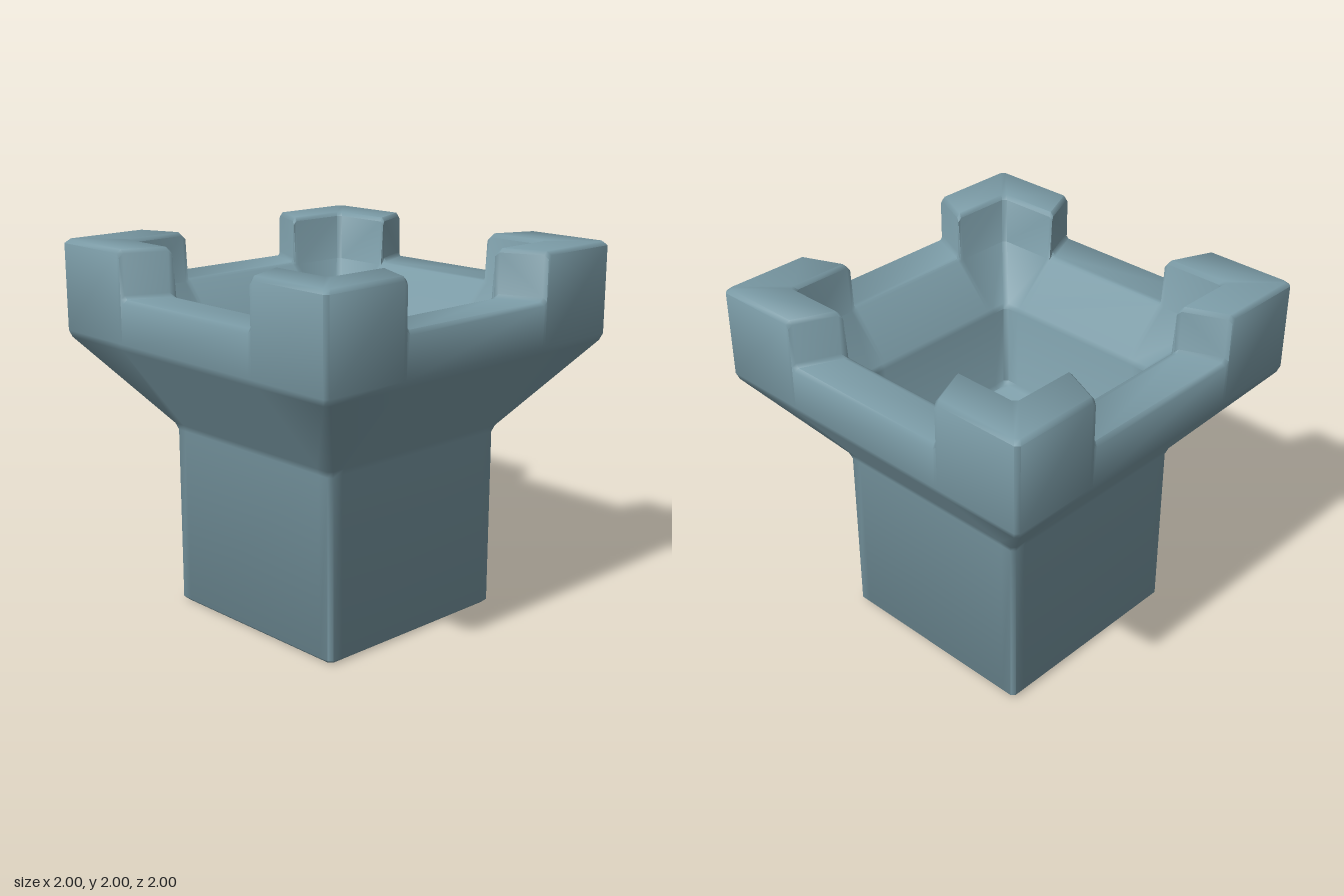
import * as THREE from 'three';
import { toCreasedNormals } from 'three/addons/utils/BufferGeometryUtils.js';

const BEVEL = 0.02;
const CREASE = 0.95; // bevels blend smoothly, harder corners stay sharp
const HIGH = 2; // top of the corner battlements
const LOW = 1.75; // top of the rim between them

// Columns of half a side, from gap to corner: [offset from gap end, top height]
const HALF = [
  [-BEVEL, LOW], [0, LOW + BEVEL],    // foot of the gap wall
  [0, HIGH - BEVEL], [BEVEL, HIGH],   // head of the gap wall
  ['corner', HIGH],
];
const SIDE = [
  ...HALF.map(([offset, top]) => ({ offset, top, sign: -1 })).reverse(),
  ...HALF.map(([offset, top]) => ({ offset, top, sign: 1 })),
];

// One closed vertical section, from the foot over the top into the well.
// Each point is [half-width, height, position of the gap end along the side]
function section(top) {
  return [
    [0.58, 0, 0.5], [0.6, 0.02, 0.5],                    // foot
    [0.6, 0.98, 0.5], [0.613, 1.016, 0.5],               // shaft to flare
    [0.987, 1.484, 0.5], [1, 1.52, 0.5],                 // flare to head
    [1, top - BEVEL, 0.5], [0.98, top, 0.49],            // outer top edge
    [0.77, top, 0.4],                                    // inner top edge
    [0.75, Math.max(top - BEVEL, LOW - 0.005), 0.39],
    [0.735, 1.735, 0.39],                                // top of funnel
    [0.515, 1.51, 0.39], [0.5, 1.485, 0.39],             // funnel to well
    [0.5, 1.02, 0.39], [0.48, 1, 0.39],                  // well floor
  ];
}

// All sections in order around the tower
function buildColumns() {
  const columns = [];
  for (let side = 0; side < 4; side++) {
    for (const { offset, top, sign } of SIDE) {
      columns.push(section(top).map(([r, y, gap]) => {
        let x = r;
        let z = sign * (offset === 'corner' ? r - BEVEL : gap + offset);
        for (let turn = 0; turn < side; turn++) [x, z] = [-z, x];
        return new THREE.Vector3(x, y, z);
      }));
    }
  }
  return columns;
}

function towerGeometry() {
  const columns = buildColumns();
  const n = columns.length;
  const last = columns[0].length - 1;
  const positions = [];

  // Coincident columns give empty triangles, which are left out
  const addTriangle = (a, b, c) => {
    if (new THREE.Triangle(a, b, c).getArea() < 1e-7) return;
    for (const p of [a, b, c]) positions.push(p.x, p.y, p.z);
  };

  // Walls, rim and battlements
  columns.forEach((column, j) => {
    const next = columns[(j + 1) % n];
    for (let i = 0; i < last; i++) {
      addTriangle(column[i], column[i + 1], next[i]);
      addTriangle(next[i], column[i + 1], next[i + 1]);
    }
  });

  // Underside and well floor
  for (let j = 1; j < n - 1; j++) {
    addTriangle(columns[0][0], columns[j][0], columns[j + 1][0]);
    addTriangle(columns[0][last], columns[j + 1][last], columns[j][last]);
  }

  const geometry = new THREE.BufferGeometry();
  geometry.setAttribute('position', new THREE.Float32BufferAttribute(positions, 3));
  return toCreasedNormals(geometry, CREASE);
}

export function createModel() {
  const tower = new THREE.Group();
  tower.name = 'tower';
  const material = new THREE.MeshStandardMaterial({ color: 0x7a9aa5 });
  const body = new THREE.Mesh(towerGeometry(), material);
  body.name = 'battlementedTower';
  tower.add(body);
  return tower;
}
